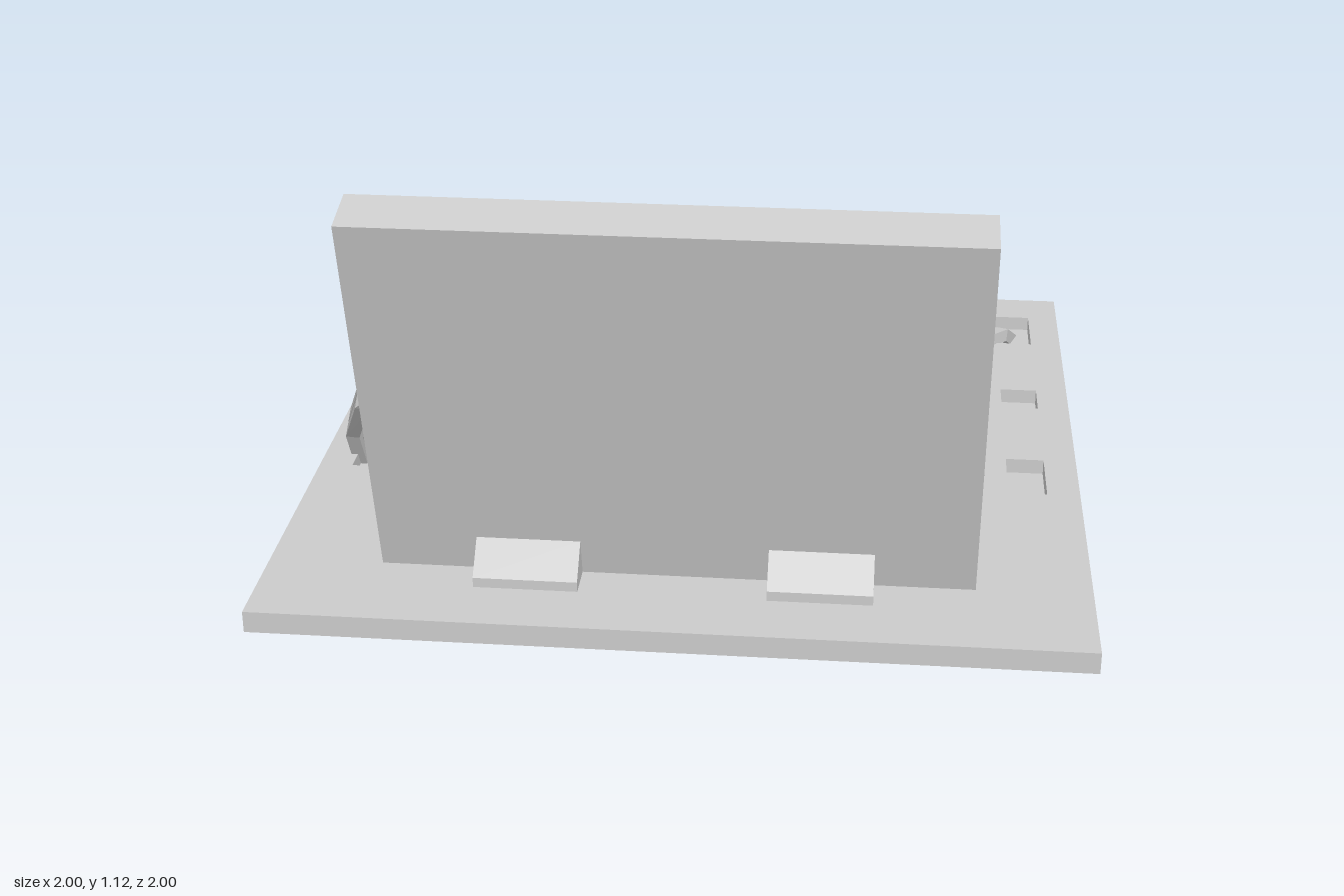
import * as THREE from 'three';

const grey = new THREE.MeshStandardMaterial({ color: 0xcccccc, flatShading: true });
const BASE_TOP = 0.105;

function part(name, geometry) {
  const m = new THREE.Mesh(geometry, grey);
  m.name = name;
  return m;
}

// Side profile given as [z, y] pairs, extruded along x from x0 to x1
function sideExtrude(profile, x0, x1) {
  const shape = new THREE.Shape(profile.map(([z, y]) => new THREE.Vector2(-z, y)));
  return new THREE.ExtrudeGeometry(shape, { depth: x1 - x0, bevelEnabled: false })
    .rotateY(Math.PI / 2).translate(x0, 0, 0);
}

// Frames along a polyline, carried forward without twisting
function framesAlong(points) {
  const dirs = points.map((p, i) => {
    const a = points[Math.max(i - 1, 0)], b = points[Math.min(i + 1, points.length - 1)];
    const back = p.clone().sub(a).normalize(), ahead = b.clone().sub(p).normalize();
    return back.add(ahead).normalize();
  });
  const across = new THREE.Vector3(0, 1, 0).cross(dirs[0]).normalize();
  return dirs.map((d) => {
    across.addScaledVector(d, -across.dot(d)).normalize();
    return { u: across.clone(), v: d.clone().cross(across) };
  });
}

// Square cable swept along the path, shifted by (du, dv) inside its bundle
function cableGeometry(points, frames, du, dv, h) {
  const corners = [[-h, -h], [h, -h], [h, h], [-h, h]];
  const pos = [], idx = [];
  points.forEach((p, i) => corners.forEach(([a, b]) => {
    const q = p.clone().addScaledVector(frames[i].u, a + du).addScaledVector(frames[i].v, b + dv);
    pos.push(q.x, q.y, q.z);
  }));
  for (let i = 0; i < points.length - 1; i++) {
    for (let k = 0; k < 4; k++) {
      const a = i * 4 + k, b = i * 4 + (k + 1) % 4;
      idx.push(a, b, b + 4, a, b + 4, a + 4);
    }
  }
  const e = (points.length - 1) * 4;
  idx.push(0, 2, 1, 0, 3, 2, e, e + 1, e + 2, e, e + 2, e + 3);
  const g = new THREE.BufferGeometry();
  g.setAttribute('position', new THREE.Float32BufferAttribute(pos, 3));
  g.setIndex(idx);
  const flat = g.toNonIndexed();
  flat.computeVertexNormals();
  return flat;
}

function cables(name, path, offsets, h = 0.018) {
  const group = new THREE.Group();
  group.name = name;
  const points = path.map((p) => new THREE.Vector3(...p));
  const frames = framesAlong(points);
  offsets.forEach(([u, v]) => group.add(part('cable', cableGeometry(points, frames, u, v, h))));
  return group;
}

export function createModel() {
  const model = new THREE.Group();
  model.name = 'socketBoard';

  // Base: solid floor below a plate pierced by three rows of sockets
  const floor = new THREE.BoxGeometry(2, 0.015, 2).translate(0, 0.0575, 0);
  model.add(part('baseFloor', floor));
  const plate = new THREE.Shape();
  plate.moveTo(-1, -1).lineTo(1, -1).lineTo(1, 1).lineTo(-1, 1).closePath();
  for (const [z0, z1] of [[-0.867, -0.675], [-0.36, -0.245], [0.065, 0.255]]) {
    for (let i = 0; i < 10; i++) {
      const x = -0.863 + i * 0.192, w = 0.05;
      const hole = new THREE.Path();
      hole.moveTo(x - w, -z0).lineTo(x + w, -z0).lineTo(x + w, -z1).lineTo(x - w, -z1).closePath();
      plate.holes.push(hole);
    }
  }
  const plateGeo = new THREE.ExtrudeGeometry(plate, { depth: BASE_TOP - 0.065, bevelEnabled: false })
    .rotateX(-Math.PI / 2).translate(0, 0.065, 0);
  model.add(part('socketPlate', plateGeo));

  // Leaning board and its two wedge stops
  model.add(part('leaningBoard',
    sideExtrude([[0.745, 0.1], [1, 1.09], [0.88, 1.12], [0.625, 0.1]], -0.72, 0.72)));
  for (const x of [-0.48, 0.225]) {
    model.add(part('boardStop',
      sideExtrude([[0.84, 0.1], [0.84, 0.13], [0.77, 0.205], [0.74, 0.1]], x, x + 0.252)));
  }

  // Single cables
  const one = [[0, 0]];
  model.add(cables('leftCable', [
    [-0.88, 0.06, -0.78], [-0.84, 0.12, -0.7], [-0.78, 0.15, -0.53], [-0.72, 0.16, -0.28],
    [-0.69, 0.13, 0.03], [-0.69, 0.07, 0.13]], one, 0.024));
  model.add(cables('rightCable', [
    [0.86, 0.05, -0.82], [0.83, 0.11, -0.73], [0.65, 0.15, -0.47], [0.41, 0.18, -0.21],
    [0.18, 0.17, -0.02], [0, 0.11, 0.12], [-0.1, 0.03, 0.19]], one));
  model.add(cables('loopedCable', [
    [-0.48, 0.07, -0.78], [-0.39, 0.15, -0.78], [-0.26, 0.2, -0.71], [-0.2, 0.215, -0.6],
    [-0.1, 0.17, -0.36], [-0.12, 0.14, -0.18], [-0.23, 0.135, -0.14], [-0.43, 0.14, -0.16],
    [-0.55, 0.13, -0.25], [-0.54, 0.13, -0.45], [-0.45, 0.13, -0.6], [-0.25, 0.14, -0.68],
    [-0.03, 0.13, -0.73], [0.1, 0.08, -0.74]], one));

  // Bundles of four cables
  const s = 0.023;
  const four = [[-s, -s], [s, -s], [-s, s], [s, s]];
  model.add(cables('diagonalBundle', [
    [-0.48, 0.04, 0.18], [-0.36, 0.12, 0.07], [-0.18, 0.16, -0.1], [0.04, 0.18, -0.34],
    [0.25, 0.165, -0.56], [0.42, 0.12, -0.73], [0.49, 0.055, -0.8]], four));
  model.add(cables('tallArchBundle', [
    [-0.89, 0.08, 0.13], [-0.89, 0.2, 0.2], [-0.82, 0.36, 0.36], [-0.66, 0.51, 0.45],
    [-0.47, 0.6, 0.5], [-0.29, 0.63, 0.48], [-0.14, 0.56, 0.38], [-0.1, 0.44, 0.26],
    [-0.16, 0.27, 0.18], [-0.28, 0.08, 0.15]], four));
  model.add(cables('lowArchBundle', [
    [0.71, 0.08, 0.12], [0.71, 0.19, 0.24], [0.63, 0.3, 0.4], [0.5, 0.37, 0.5],
    [0.24, 0.4, 0.43], [0.14, 0.33, 0.2], [0.13, 0.25, 0.02], [0.19, 0.2, -0.17],
    [0.27, 0.15, -0.29], [0.35, 0.07, -0.35]], four));

  return model;
}
